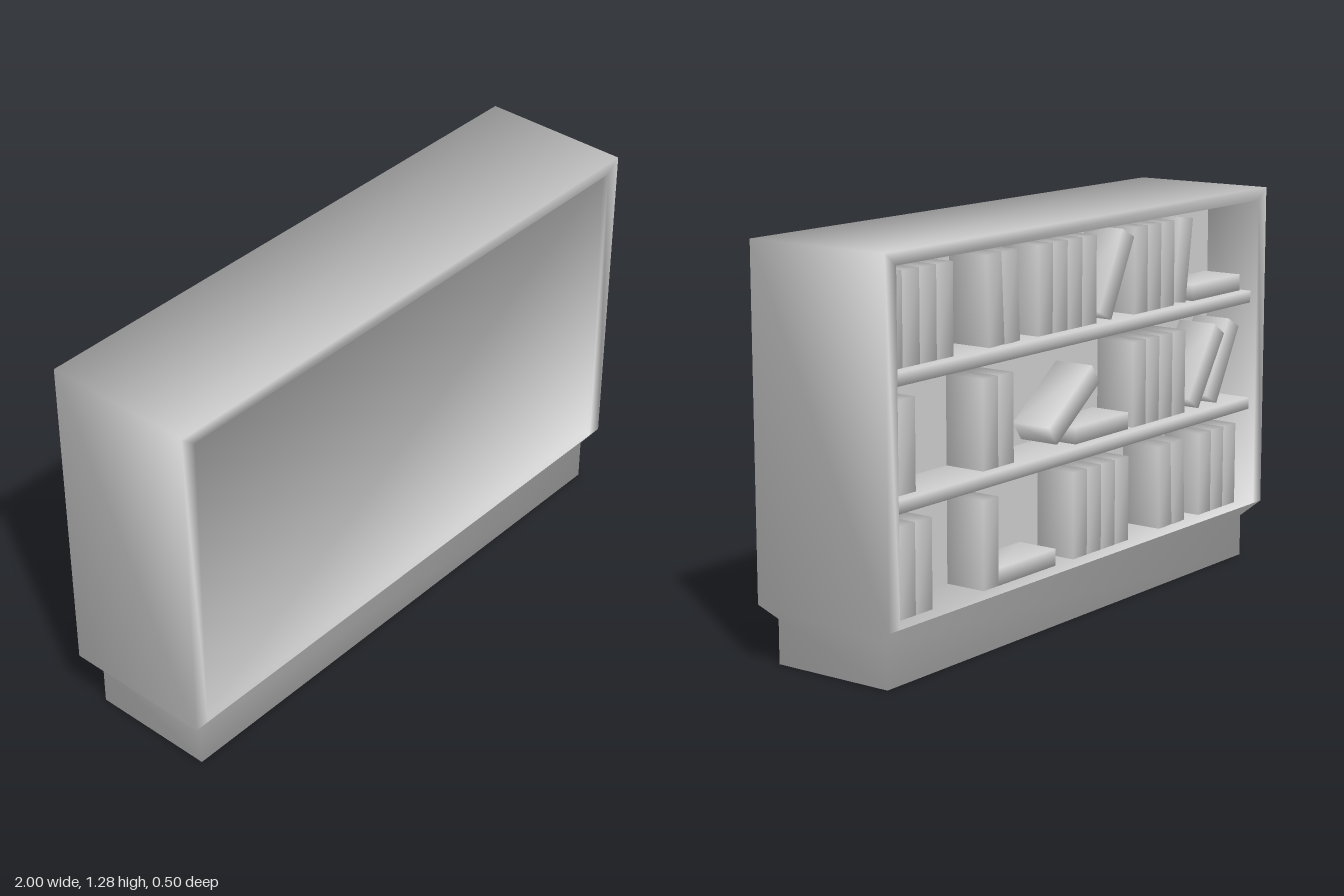
import * as THREE from 'three';
import { mergeVertices } from 'three/addons/utils/BufferGeometryUtils.js';

const grey = new THREE.MeshStandardMaterial({ color: 0xcccccc });
grey.name = 'plain grey';

// Smooth mesh from quads: each corner averages the unit normals of its faces
function smoothQuads(quads) {
  const ids = new Map(), pos = [], nor = [], index = [];
  for (const q of quads) {
    const n = q[1].clone().sub(q[0]).cross(q[2].clone().sub(q[0])).normalize();
    const id = q.map((p) => {
      const key = p.toArray().join();
      if (!ids.has(key)) {
        ids.set(key, pos.length);
        pos.push(p);
        nor.push(new THREE.Vector3());
      }
      const i = ids.get(key);
      nor[i].add(n);
      return i;
    });
    index.push(id[0], id[1], id[2], id[0], id[2], id[3]);
  }
  const g = new THREE.BufferGeometry().setFromPoints(pos);
  g.setAttribute('normal', new THREE.Float32BufferAttribute(nor.flatMap((n) => n.normalize().toArray()), 3));
  g.setIndex(index);
  return g;
}

// Box with shared corners, so the shading runs softly over its edges
function softBox(w, h, d) {
  let g = new THREE.BoxGeometry(w, h, d);
  g.deleteAttribute('normal');
  g.deleteAttribute('uv');
  g = mergeVertices(g);
  g.computeVertexNormals();
  return g;
}

const V = (x, y, z) => new THREE.Vector3(x, y, z);
const upright = (x, y0, y1, z) => [V(-x, y0, z), V(x, y0, z), V(x, y1, z), V(-x, y1, z)];
const level = (x, y, zf, zb) => [V(-x, y, zf), V(x, y, zf), V(x, y, zb), V(-x, y, zb)];

// Case: shallow panel on one side, book space on the other, chamfered plinth below
function caseGeometry() {
  const quads = [];
  const rings = [
    upright(0.95, 0.19, 1.24, 0.235), upright(0.95, 0.19, 1.24, 0.255),
    upright(1, 0.19, 1.28, 0.255), upright(1, 0.19, 1.28, -0.25),
    upright(0.95, 0.19, 1.24, -0.25), upright(0.95, 0.19, 1.24, -0.05),
  ];
  quads.push(rings[0]);
  for (let i = 0; i < 5; i++) {
    const a = rings[i], b = rings[i + 1];
    for (let k = 0; k < 4; k++) {
      if (k === 0 && i > 0 && i < 4) continue; // the plinth closes the bottom
      const m = (k + 1) % 4;
      quads.push([a[m], a[k], b[k], b[m]]);
    }
  }
  const base = [level(1, 0.19, 0.255, -0.25), level(0.95, 0.14, 0.22, -0.2), level(0.95, 0, 0.22, -0.2)];
  for (let i = 0; i < 2; i++) {
    const a = base[i], b = base[i + 1];
    for (let k = 0; k < 4; k++) {
      const m = (k + 1) % 4;
      quads.push([a[k], b[k], b[m], a[m]]);
    }
  }
  quads.push([...base[2]].reverse());
  return smoothQuads(quads);
}

export function createModel() {
  const model = new THREE.Group();
  model.name = 'bookcase';
  const add = (name, geo, x, y, z, tilt = 0) => {
    const m = new THREE.Mesh(geo, grey);
    m.name = name;
    m.position.set(x, y, z);
    m.rotation.z = tilt;
    model.add(m);
    return m;
  };

  add('case', caseGeometry(), 0, 0, 0);
  const panel = add('backPanel', new THREE.PlaneGeometry(1.9, 1.05), 0, 0.715, -0.05);
  panel.rotation.y = Math.PI;

  // Shelves
  const shelf = softBox(1.9, 0.04, 0.175);
  for (const y of [0.54, 0.91]) add('shelf', shelf, 0, y, -0.1375);

  // Books
  const T = 0.077, H = 0.28, D = 0.14, Z = -0.12;
  const book = softBox(T - 0.003, H, D);

  // Standing rows: floor height, x of the first edge, count, tilt
  const rows = [
    [0.93, 0.93, 4, 0], [0.93, 0.462, 2, -0.05], [0.93, 0.212, 4, 0], [0.93, -0.303, 3, 0],
    [0.56, 0.877, 1, 0], [0.56, 0.487, 2, 0], [0.56, -0.298, 4, 0],
    [0.19, 0.882, 2, 0], [0.19, 0.487, 1, 0], [0.19, 0.027, 4, 0], [0.19, -0.453, 2, -0.04], [0.19, -0.695, 3, 0],
  ];
  for (const [y, x, count, tilt] of rows) {
    for (let i = 0; i < count; i++) add('book', book, x - T * (i + 0.5), y + H / 2, Z, tilt);
  }

  // Leaning books: centre x, floor height, tilt
  const leaning = [
    [-0.205, 0.93, 0.46], [-0.585, 0.93, 0.14],
    [0.02, 0.575, 0.95], [-0.735, 0.56, 0.58], [-0.835, 0.56, 0.5],
  ];
  for (const [x, y, tilt] of leaning) {
    const half = (H * Math.cos(tilt) + T * Math.abs(Math.sin(tilt))) / 2;
    add('leaningBook', book, x, y + half, Z, tilt);
  }

  // Books lying flat: centre x, floor height
  const flat = softBox(0.29, 0.055, D);
  for (const [x, y] of [[-0.79, 0.93], [-0.13, 0.56], [0.265, 0.19]]) add('flatBook', flat, x, y + 0.0275, Z);

  return model;
}
